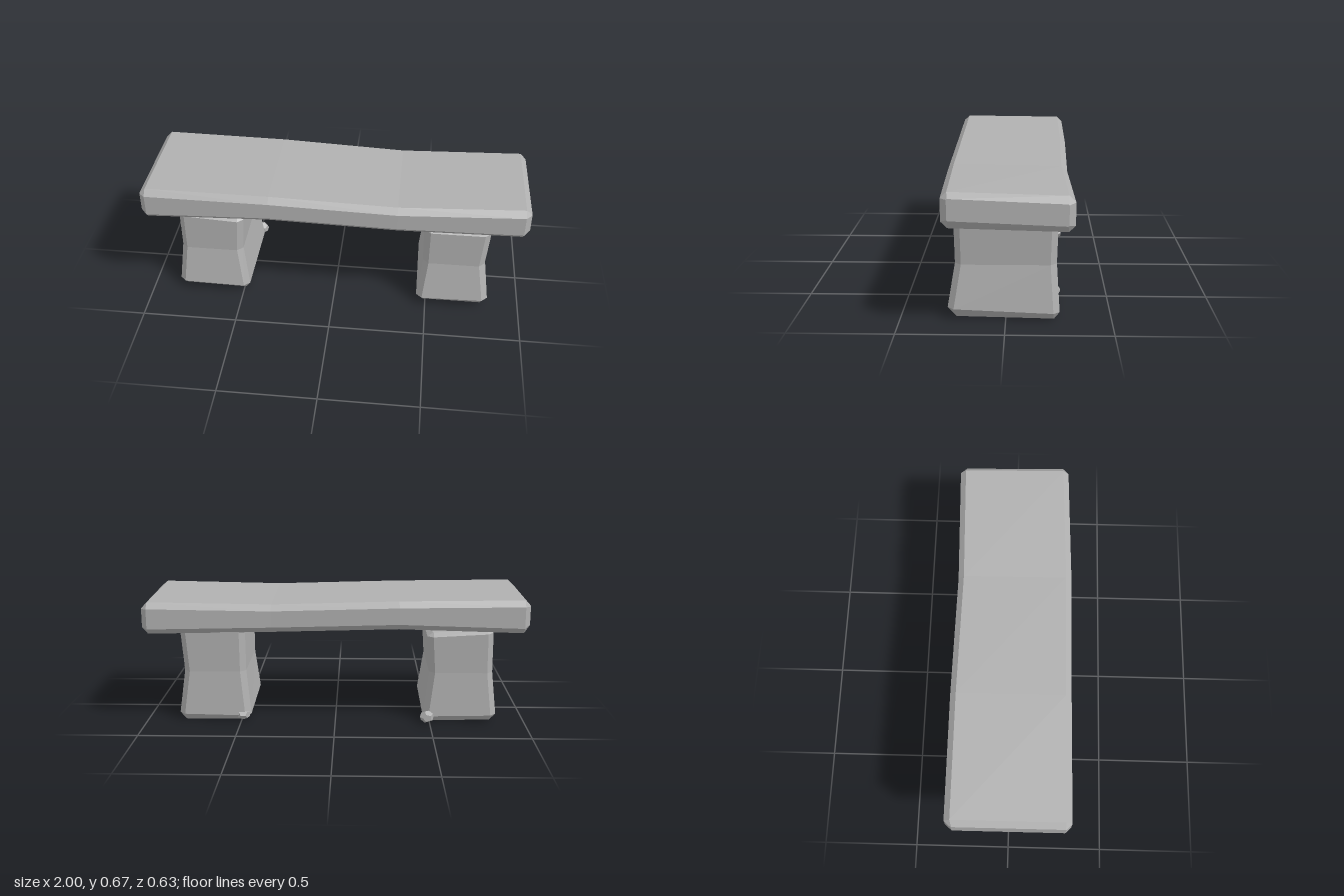
import * as THREE from 'three';

// Rectangle with cut corners, counter-clockwise in (u, v)
function octagon(u0, u1, v0, v1, c) {
  return [
    [u0 + c, v0], [u1 - c, v0], [u1, v0 + c], [u1, v1 - c],
    [u1 - c, v1], [u0 + c, v1], [u0, v1 - c], [u0, v0 + c],
  ];
}

// Skin a stack of rings and close both ends
function loft(rings, material, name) {
  const n = rings[0].length;
  const index = [];
  for (let r = 0; r < rings.length - 1; r++) {
    for (let i = 0; i < n; i++) {
      const a = r * n + i, b = r * n + (i + 1) % n;
      index.push(a, b, b + n, a, b + n, a + n);
    }
  }
  const last = (rings.length - 1) * n;
  for (let i = 1; i < n - 1; i++) {
    index.push(0, i + 1, i, last, last + i, last + i + 1);
  }
  const geometry = new THREE.BufferGeometry();
  geometry.setAttribute('position', new THREE.Float32BufferAttribute(rings.flat(2), 3));
  geometry.setIndex(index);
  const flat = geometry.toNonIndexed();
  flat.computeVertexNormals();
  const mesh = new THREE.Mesh(flat, material);
  mesh.name = name;
  return mesh;
}

export function createModel() {
  const group = new THREE.Group();
  group.name = 'stoneBench';
  const stone = new THREE.MeshStandardMaterial({ color: 0xb0b0b0 });
  stone.name = 'grey stone';
  stone.flatShading = true;

  // Seat slab: x, bottom, top, back, front, corner cut, rise towards the front
  const seatRows = [
    [-1.0, 0.54, 0.643, -0.275, 0.285, 0.004, 0.01],
    [-0.97, 0.5, 0.672, -0.31, 0.313, 0.03, 0.01],
    [-0.33, 0.518, 0.664, -0.31, 0.307, 0.03, 0.012],
    [0.33, 0.499, 0.644, -0.299, 0.305, 0.03, 0.018],
    [0.97, 0.492, 0.658, -0.315, 0.285, 0.03, 0.026],
    [1.0, 0.529, 0.63, -0.285, 0.255, 0.004, 0.04],
  ];
  group.add(loft(seatRows.map(([x, y0, y1, z0, z1, c, tilt]) =>
    octagon(y0, y1, z0, z1, c).map(([y, z]) => [x, y + tilt * z, z])), stone, 'seat'));

  // Legs: y, x from, x to, back, front, corner cut, slope along x, slope along z
  const legs = {
    rightLeg: [
      [0.01, -0.82, -0.49, -0.23, 0.235, 0.004, -0.02, 0.012],
      [0.045, -0.852, -0.465, -0.255, 0.275, 0.03, -0.02, 0.03],
      [0.27, -0.828, -0.495, -0.24, 0.24, 0.03, 0, 0],
      [0.472, -0.826, -0.482, -0.245, 0.243, 0.03, -0.06, 0],
      [0.492, -0.795, -0.51, -0.215, 0.215, 0.004, -0.07, 0],
    ],
    leftLeg: [
      [0.008, 0.485, 0.8, -0.23, 0.235, 0.004, 0, 0.02],
      [0.045, 0.45, 0.832, -0.255, 0.275, 0.03, 0.02, 0.04],
      [0.27, 0.474, 0.8, -0.24, 0.24, 0.03, 0, 0],
      [0.477, 0.475, 0.816, -0.245, 0.243, 0.03, 0, -0.02],
      [0.499, 0.505, 0.785, -0.215, 0.215, 0.004, 0, 0.01],
    ],
  };
  for (const [name, rows] of Object.entries(legs)) {
    const rings = rows.map(([y, x0, x1, z0, z1, c, sx, sz]) =>
      octagon(z0, z1, x0, x1, c).map(([z, x]) => [x, y + sx * (x - (x0 + x1) / 2) + sz * z, z]));
    group.add(loft(rings, stone, name));
  }

  // Small pebbles against the rear inner corners of the legs
  const pebbles = [
    [-0.485, 0.037, -0.268, 0.038, 0.033, 0.036],
    [0.492, 0.033, -0.235, 0.038, 0.028, 0.034],
  ];
  pebbles.forEach(([x, y, z, rx, ry, rz], i) => {
    const pebble = new THREE.Mesh(new THREE.DodecahedronGeometry(1, 0), stone);
    pebble.geometry.rotateY(0.6 + i);
    pebble.scale.set(rx, ry, rz);
    pebble.position.set(x, y, z);
    pebble.name = 'pebble' + (i + 1);
    group.add(pebble);
  });

  return group;
}
